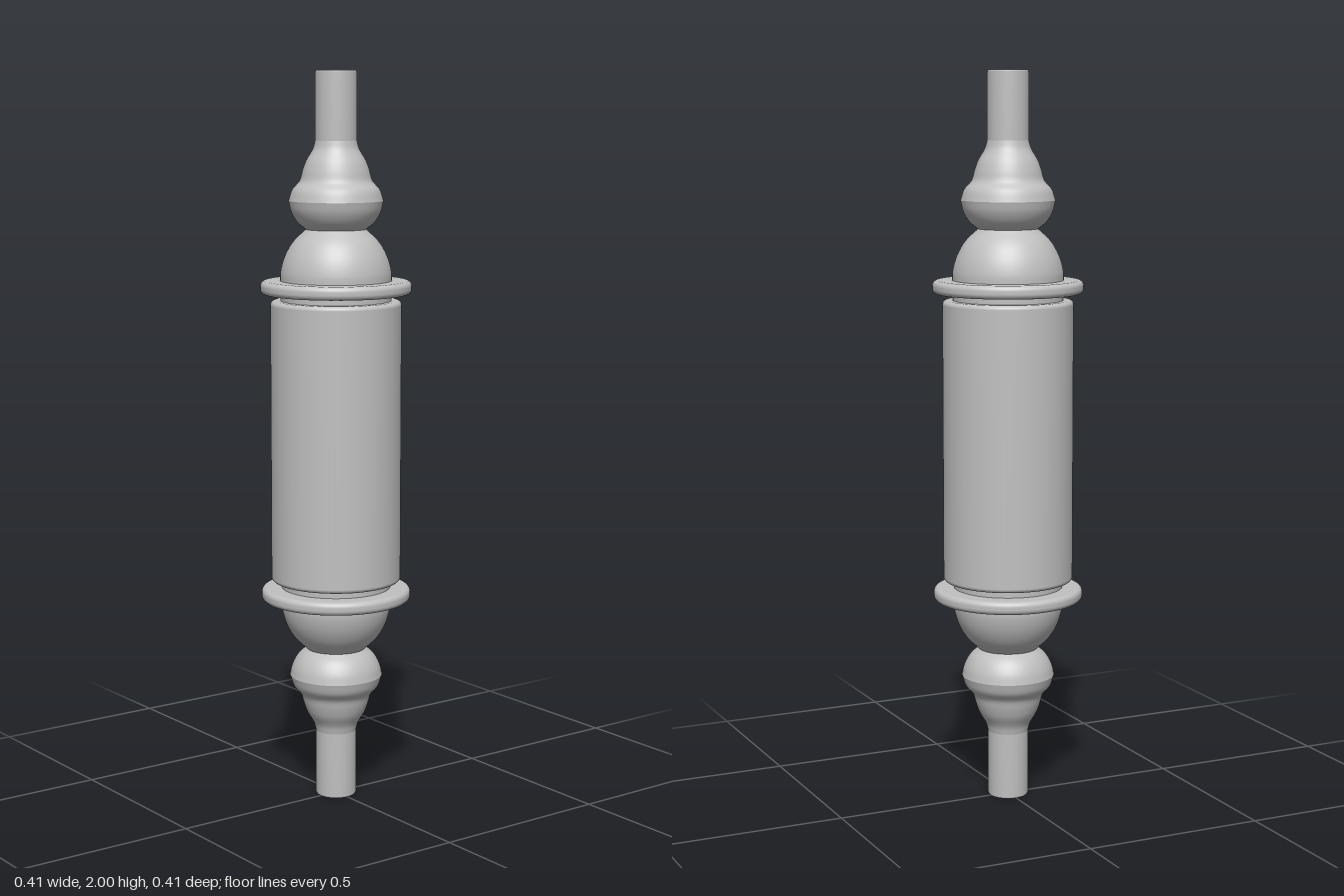
import * as THREE from 'three';

const SEGMENTS = 64;
const MIDDLE = 1;

// Smooth lathe from [radius, y] points listed from bottom to top
function turned(name, points, material) {
  const profile = points.map(([r, y]) => new THREE.Vector2(r, y));
  const mesh = new THREE.Mesh(new THREE.LatheGeometry(profile, SEGMENTS), material);
  mesh.name = name;
  return mesh;
}

// Solid disc-ended drum with a rounded rim
function roundedDrum(name, radius, bottom, top, bevel, material) {
  const points = [[0, bottom], [radius - bevel, bottom]];
  const corner = (cy, from) => {
    for (let i = 0; i <= 6; i++) {
      const a = from + (i / 6) * Math.PI / 2;
      points.push([radius - bevel + Math.cos(a) * bevel, cy + Math.sin(a) * bevel]);
    }
  };
  corner(bottom + bevel, -Math.PI / 2);
  corner(top - bevel, 0);
  points.push([radius - bevel, top], [0, top]);
  // drop repeated points so that the lathe normals stay valid
  const clean = points.filter((p, i) => i === 0 ||
    Math.hypot(p[0] - points[i - 1][0], p[1] - points[i - 1][1]) > 1e-5);
  return turned(name, clean, material);
}

// Samples a smooth curve through a few profile points
function smooth(points, count = 24) {
  const curve = new THREE.CatmullRomCurve3(points.map(([r, y]) => new THREE.Vector3(r, y, 0)), false, 'centripetal');
  return curve.getPoints(count).map((p) => [p.x, p.y]);
}

export function createModel() {
  const model = new THREE.Group();
  model.name = 'turnedRoller';
  const grey = new THREE.MeshStandardMaterial({ color: 0xc0c0c0 });
  grey.name = 'plain grey';

  // central barrel
  model.add(roundedDrum('barrel', 0.178, 0.613, 1.387, 0.012, grey));

  const bulbUpper = smooth([
    [0.128, 1.655], [0.118, 1.685], [0.098, 1.708], [0.09, 1.735],
    [0.08, 1.762], [0.062, 1.793], [0.056, 1.815],
  ]);
  const bulbLower = smooth([[0.08, 1.578], [0.104, 1.598], [0.121, 1.627], [0.128, 1.655]], 12);
  const dome = smooth([
    [0.151, 1.435], [0.15, 1.465], [0.139, 1.505], [0.116, 1.545], [0.08, 1.58],
  ]);

  // matching turned ends, the lower one mirrored through the middle
  for (const side of ['upper', 'lower']) {
    const end = new THREE.Group();
    end.name = side + 'End';
    end.add(
      turned('neck', [[0.15, 1.38], [0.15, 1.41]], grey),
      roundedDrum('collar', 0.205, 1.405, 1.441, 0.014, grey),
      turned('dome', dome, grey),
      turned('bulbUnderside', bulbLower, grey),
      turned('bulbShoulder', bulbUpper, grey),
      turned('handleRod', [[0.056, 1.815], [0.056, 1.995], [0.053, 2]], grey),
    );
    const cap = new THREE.Mesh(new THREE.CircleGeometry(0.053, SEGMENTS), grey);
    cap.name = 'handleCap';
    cap.rotation.x = -Math.PI / 2;
    cap.position.y = 2;
    end.add(cap);
    if (side === 'lower') {
      end.rotation.x = Math.PI;
      end.position.y = 2 * MIDDLE;
    }
    model.add(end);
  }
  return model;
}
